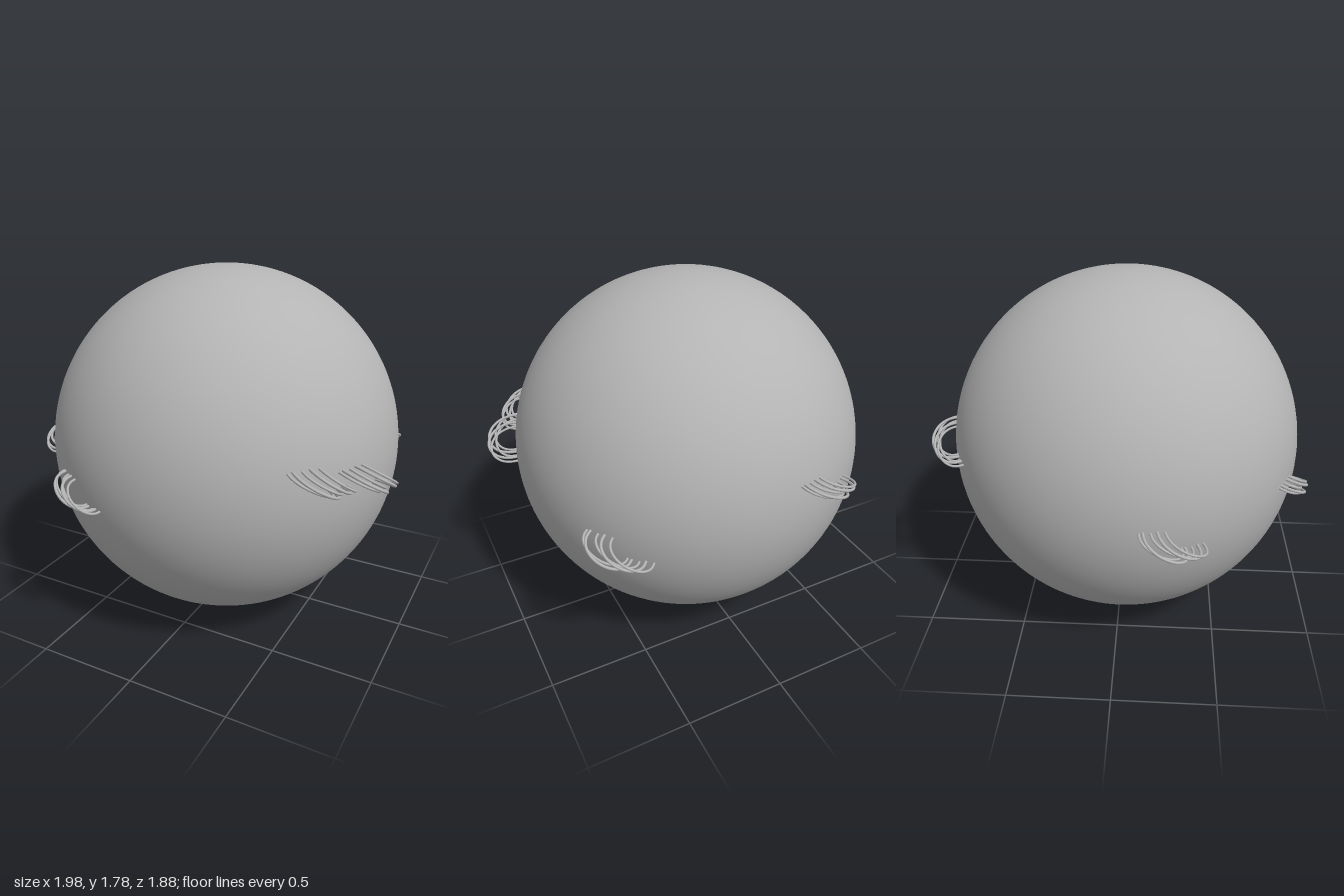
import * as THREE from 'three';

const RADIUS = 0.89;
const CENTRE_Z = 0.02;

// Each flare: range of bearings for the high feet and the low feet, their heights, and the reach of the loops
const FLARES = [
  { name: 'frontFlare', high: [-0.57, -0.43], low: [-0.34, -0.23], top: 0.88, bottom: 0.78, reach: 0.09 },
  { name: 'rightFlare', high: [-1.46, -1.33], low: [-1.24, -1.12], top: 0.88, bottom: 0.78, reach: 0.13 },
  { name: 'leftFlare', high: [1.06, 1.22], low: [1.27, 1.39], top: 1.0, bottom: 0.89, reach: 0.148 },
  { name: 'frontLeftFlare', high: [0.77, 0.94], low: [0.99, 1.11], top: 1.04, bottom: 0.935, reach: 0.125 },
  { name: 'backLeftFlare', high: [2.15, 2.30], low: [2.37, 2.51], top: 0.85, bottom: 0.74, reach: 0.115 },
  { name: 'backFlare', high: [3.30, 3.43], low: [3.56, 3.68], top: 1.04, bottom: 0.945, reach: 0.115 },
];

// Point at a bearing and height, lifted off the ball by a given distance
function pointOnBall(bearing, y, lift) {
  const r = Math.sqrt(RADIUS ** 2 - (y - RADIUS) ** 2) + lift;
  return new THREE.Vector3(r * Math.sin(bearing), y, CENTRE_Z + r * Math.cos(bearing));
}

// One looping strand from a high foot round to a low foot
function strandGeometry(highBearing, lowBearing, top, bottom, reach, thickness) {
  const points = [];
  const steps = 14;
  for (let i = 0; i <= steps; i++) {
    const t = (Math.PI * i) / steps;
    const k = (1 - Math.cos(t)) / 2;
    const arch = Math.max(0, Math.sin(t)) ** 0.85;
    const bearing = THREE.MathUtils.lerp(highBearing, lowBearing, k);
    const y = THREE.MathUtils.lerp(top, bottom, k) - 0.012 * arch;
    points.push(pointOnBall(bearing, y, reach * arch - 0.003));
  }
  return new THREE.TubeGeometry(new THREE.CatmullRomCurve3(points), 40, thickness, 8);
}

export function createModel() {
  const model = new THREE.Group();
  model.name = 'ballWithFlares';
  const grey = new THREE.MeshStandardMaterial({ color: 0xb4b4b4 });
  grey.name = 'grey';

  // Ball
  const ball = new THREE.Mesh(new THREE.SphereGeometry(RADIUS, 96, 64), grey);
  ball.name = 'ball';
  ball.position.set(0, RADIUS, CENTRE_Z);
  model.add(ball);

  // Flares, each a bundle of strands of uneven reach
  const spread = [0, 0.15, 0.45, 0.7, 1];
  const reachScale = [0.8, 1, 0.72, 0.95, 0.85];
  for (const f of FLARES) {
    const flare = new THREE.Group();
    flare.name = f.name;
    spread.forEach((s, i) => {
      const geometry = strandGeometry(
        THREE.MathUtils.lerp(f.high[0], f.high[1], s),
        THREE.MathUtils.lerp(f.low[0], f.low[1], s),
        f.top + 0.004 * (i % 2), f.bottom - 0.004 * (i % 3),
        f.reach * reachScale[i], i % 2 ? 0.007 : 0.006);
      const strand = new THREE.Mesh(geometry, grey);
      strand.name = 'strand';
      flare.add(strand);
    });
    model.add(flare);
  }
  return model;
}
